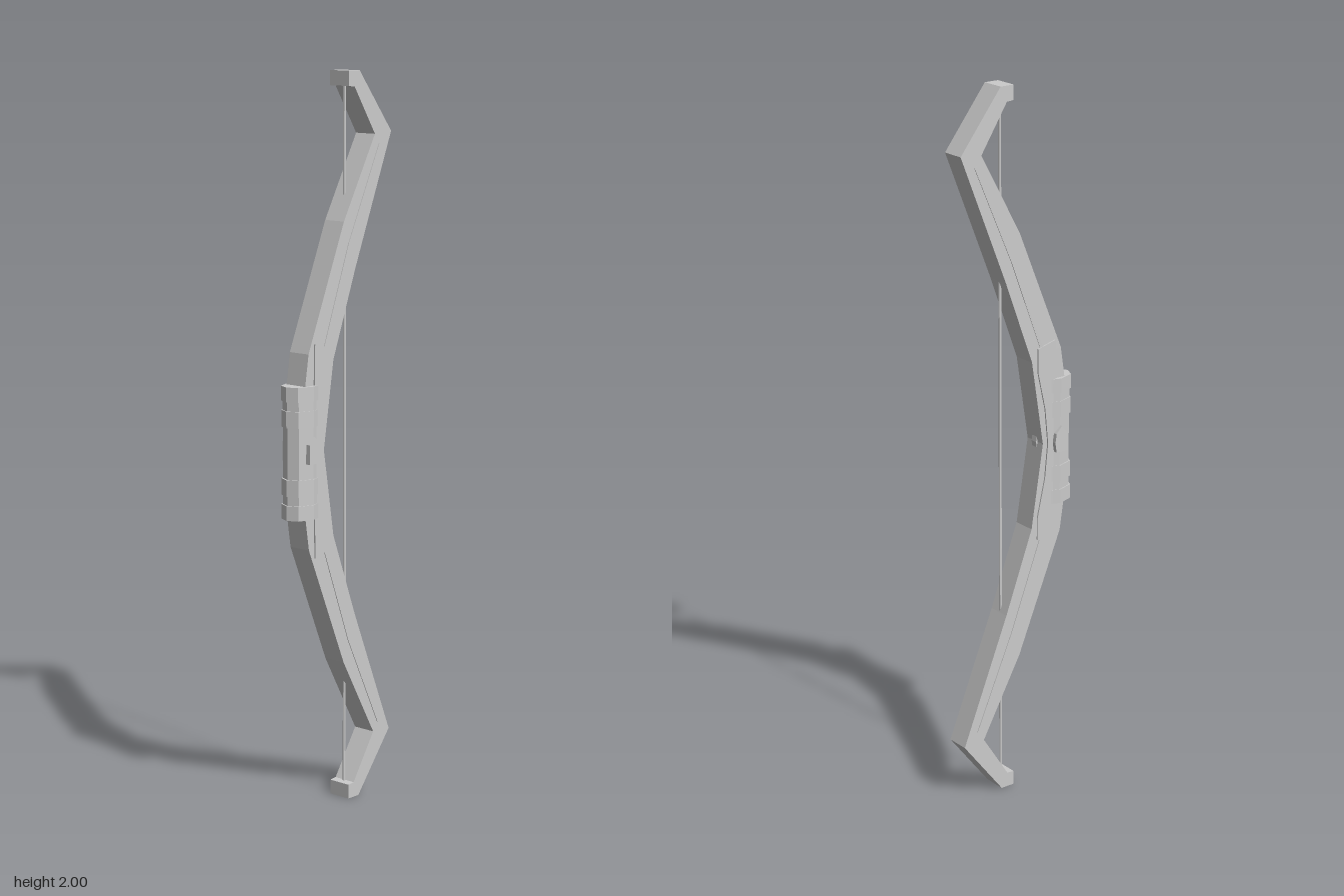
import * as THREE from 'three';

const material = new THREE.MeshStandardMaterial({ color: 0xcccccc, flatShading: true });

// Extrudes an outline in x, y, centred on z = 0
function slab(name, points, depth) {
  const shape = new THREE.Shape(points.map(([x, y]) => new THREE.Vector2(x, y)));
  const geometry = new THREE.ExtrudeGeometry(shape, { depth, bevelEnabled: false });
  geometry.translate(0, 0, -depth / 2);
  const mesh = new THREE.Mesh(geometry, material);
  mesh.name = name;
  return mesh;
}

// Completes an upper outline with its reflection about y = 1
const mirrorY = (points) => points.map(([x, y]) => [x, 2 - y]).reverse();

export function createModel() {
  const bow = new THREE.Group();
  bow.name = 'bow';

  // Limbs: one angular recurved body, from the belly out to the tip and back
  const upper = [
    [-0.08, 1.0], [-0.042, 1.24], [0.045, 1.475], [0.19, 1.835], [0.062, 2.0],
    [0.02, 2.0], [0.02, 1.96], [0.042, 1.958], [0.124, 1.83], [0, 1.605],
    [-0.14, 1.265], [-0.153, 1.18],
  ];
  bow.add(slab('limbs', [...upper, ...mirrorY(upper).slice(0, -1)], 0.067));

  // Raised strips down the middle of each limb face
  const strip = [
    [-0.094, 1.24], [-0.084, 1.235], [0.028, 1.53], [0.147, 1.8],
    [0.14, 1.805], [0.017, 1.545],
  ];
  bow.add(slab('upperInlay', strip, 0.071));
  bow.add(slab('lowerInlay', mirrorY(strip), 0.071));

  // Cheek plates on both sides of the handle
  const plate = [[-0.095, 1.0], [-0.085, 1.1], [-0.06, 1.21], [-0.06, 1.275], [-0.118, 1.29], [-0.12, 1.18]];
  bow.add(slab('cheekPlates', [...plate, ...mirrorY(plate).slice(0, -1)], 0.075));

  // Grip: pointed cross-section in stacked bands, slightly swollen at the ribs
  const grip = new THREE.Group();
  grip.name = 'grip';
  const section = [[-0.192, 0], [-0.178, 0.031], [-0.133, 0.046], [-0.112, 0.039], [-0.1, 0.036]];
  const outline = [...section, ...section.slice(1).reverse().map(([x, z]) => [x, -z])].reverse();
  const bands = [
    [0.82, 0.86, 1], [0.86, 0.885, 0.95], [0.885, 0.93, 0.99], [0.93, 1.07, 0.94],
    [1.07, 1.115, 0.99], [1.115, 1.14, 0.95], [1.14, 1.18, 1],
  ];
  for (const [y0, y1, s] of bands) {
    const band = slab('gripBand', outline.map(([x, z]) => [-0.1 + (x + 0.1) * s, z * s]), y1 - y0);
    band.rotation.x = -Math.PI / 2;
    band.position.y = (y0 + y1) / 2;
    grip.add(band);
  }
  bow.add(grip);

  // Six-sided stud through the grip
  bow.add(slab('gripStud', [
    [-0.153, 0.972], [-0.115, 0.972], [-0.111, 1.0], [-0.115, 1.025],
    [-0.133, 1.045], [-0.152, 1.025],
  ], 0.099));

  // Small notch piece on the belly
  bow.add(slab('bellyNotch', [[-0.088, 1.0], [-0.08, 0.97], [-0.075, 1.0], [-0.08, 1.03]], 0.02));

  // String between the tips
  const string = new THREE.Mesh(new THREE.CylinderGeometry(0.004, 0.004, 1.94, 8), material);
  string.name = 'string';
  string.position.set(0.04, 1, 0);
  bow.add(string);

  return bow;
}
